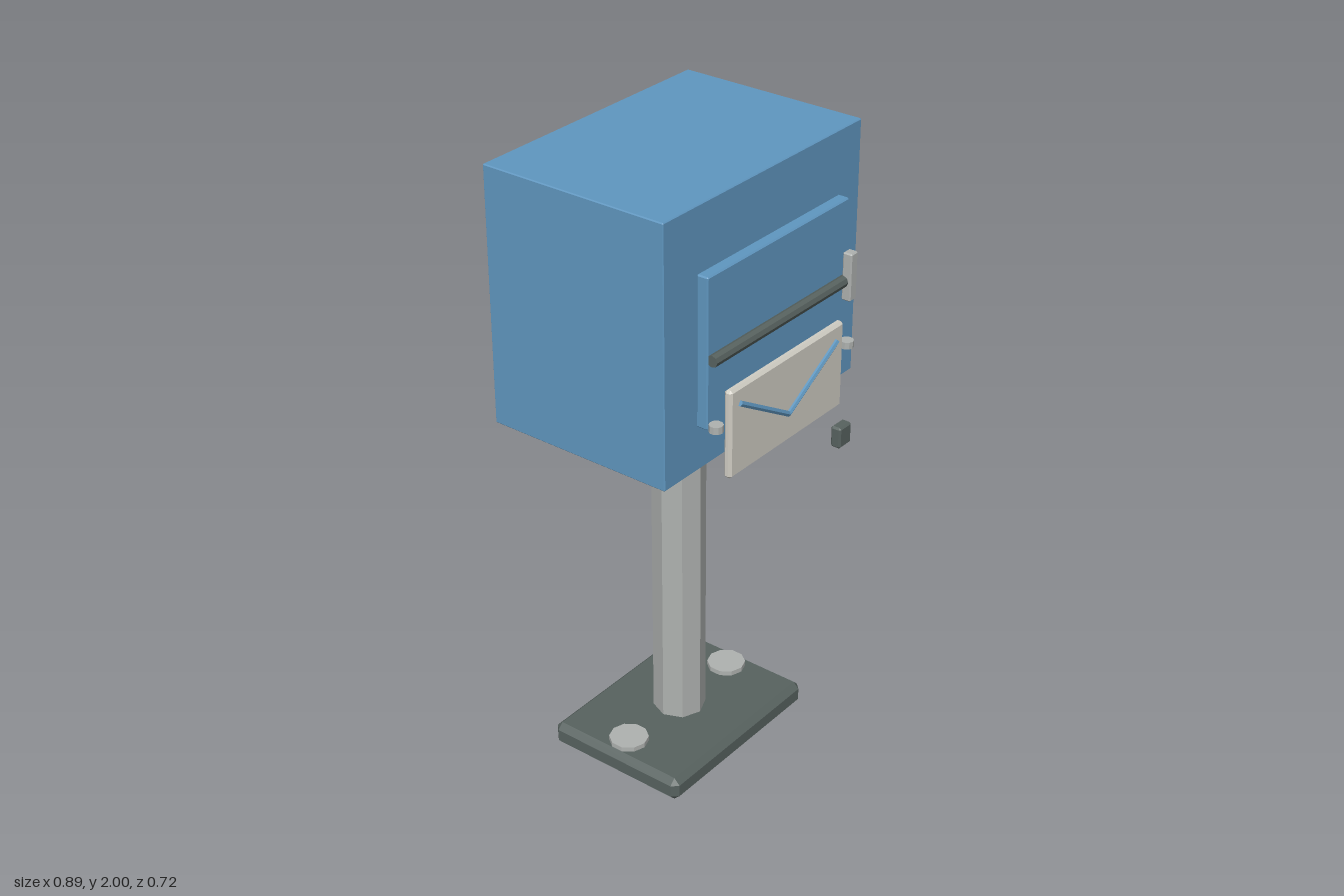
import * as THREE from 'three';
import { ConvexGeometry } from 'three/addons/geometries/ConvexGeometry.js';

const material = (name, color) => {
  const m = new THREE.MeshStandardMaterial({ color });
  m.name = name;
  return m;
};

// Box given by its extents, with every edge cut at 45 degrees
function chamferBox([x0, x1], [y0, y1], [z0, z1], c) {
  const half = [(x1 - x0) / 2, (y1 - y0) / 2, (z1 - z0) / 2];
  const points = [];
  for (const sx of [-1, 1]) for (const sy of [-1, 1]) for (const sz of [-1, 1]) {
    for (let axis = 0; axis < 3; axis++) {
      const p = half.map((h, i) => (i === axis ? h : h - c));
      points.push(new THREE.Vector3(sx * p[0], sy * p[1], sz * p[2]));
    }
  }
  const geo = new ConvexGeometry(points);
  geo.translate((x0 + x1) / 2, (y0 + y1) / 2, (z0 + z1) / 2);
  return geo;
}

// Faceted rod between two points
function rod(a, b, radius, sides) {
  const from = new THREE.Vector3(...a), to = new THREE.Vector3(...b);
  const dir = to.clone().sub(from);
  const geo = new THREE.CylinderGeometry(radius, radius, dir.length(), sides).toNonIndexed();
  geo.applyQuaternion(new THREE.Quaternion().setFromUnitVectors(new THREE.Vector3(0, 1, 0), dir.normalize()));
  geo.translate(...from.add(to).multiplyScalar(0.5).toArray());
  geo.computeVertexNormals();
  return geo;
}

export function createModel() {
  const blue = material('blue paint', 0x5f96bf);
  const grey = material('grey metal', 0xaeb1af);
  const dark = material('dark metal', 0x57625f);
  const cream = material('cream paper', 0xcfccc3);

  const model = new THREE.Group();
  model.name = 'mailbox';
  const add = (name, geo, mat) => {
    const mesh = new THREE.Mesh(geo, mat);
    mesh.name = name;
    model.add(mesh);
  };

  // Foot, bolts and post
  add('basePlate', chamferBox([-0.33, 0.33], [0, 0.08], [-0.29, 0.2], 0.02), dark);
  for (const s of [-1, 1]) add('baseBolt', rod([s * 0.25, 0.07, -0.048], [s * 0.25, 0.096, -0.048], 0.062, 10), grey);
  add('post', rod([0, 0.06, -0.045], [0, 1.21, -0.045], 0.083, 8), grey);

  // Main box
  add('body', chamferBox([-0.447, 0.447], [1.2, 2], [-0.36, 0.26], 0.003), blue);

  // Front door with the slot and inner lip behind it
  add('mailSlot', chamferBox([-0.263, 0.263], [1.73, 1.785], [0.25, 0.276], 0.003), dark);
  add('lowerLip', chamferBox([-0.26, 0.26], [1.34, 1.46], [0.255, 0.286], 0.003), cream);
  add('door', chamferBox([-0.325, 0.325], [1.355, 1.815], [0.273, 0.311], 0.004), blue);
  add('doorBar', rod([-0.32, 1.57, 0.322], [0.32, 1.57, 0.322], 0.018, 8), dark);
  for (const s of [-1, 1]) add('hingePin', rod([s * 0.311, 1.355, 0.331], [s * 0.311, 1.377, 0.331], 0.021, 10), grey);

  // Signal flag and its loose stop block
  add('flag', chamferBox([0.292, 0.325], [1.51, 1.66], [0.317, 0.348], 0.004), grey);
  add('flagStop', chamferBox([0.279, 0.339], [1.025, 1.095], [0.307, 0.342], 0.006), dark);

  // Envelope plate with its folded flap lines
  add('envelope', chamferBox([-0.268, 0.268], [1.185, 1.462], [0.322, 0.348], 0.008), cream);
  for (const s of [-1, 1]) add('envelopeFold', rod([s * 0.23, 1.413, 0.35], [0, 1.277, 0.35], 0.009, 6), blue);

  return model;
}
